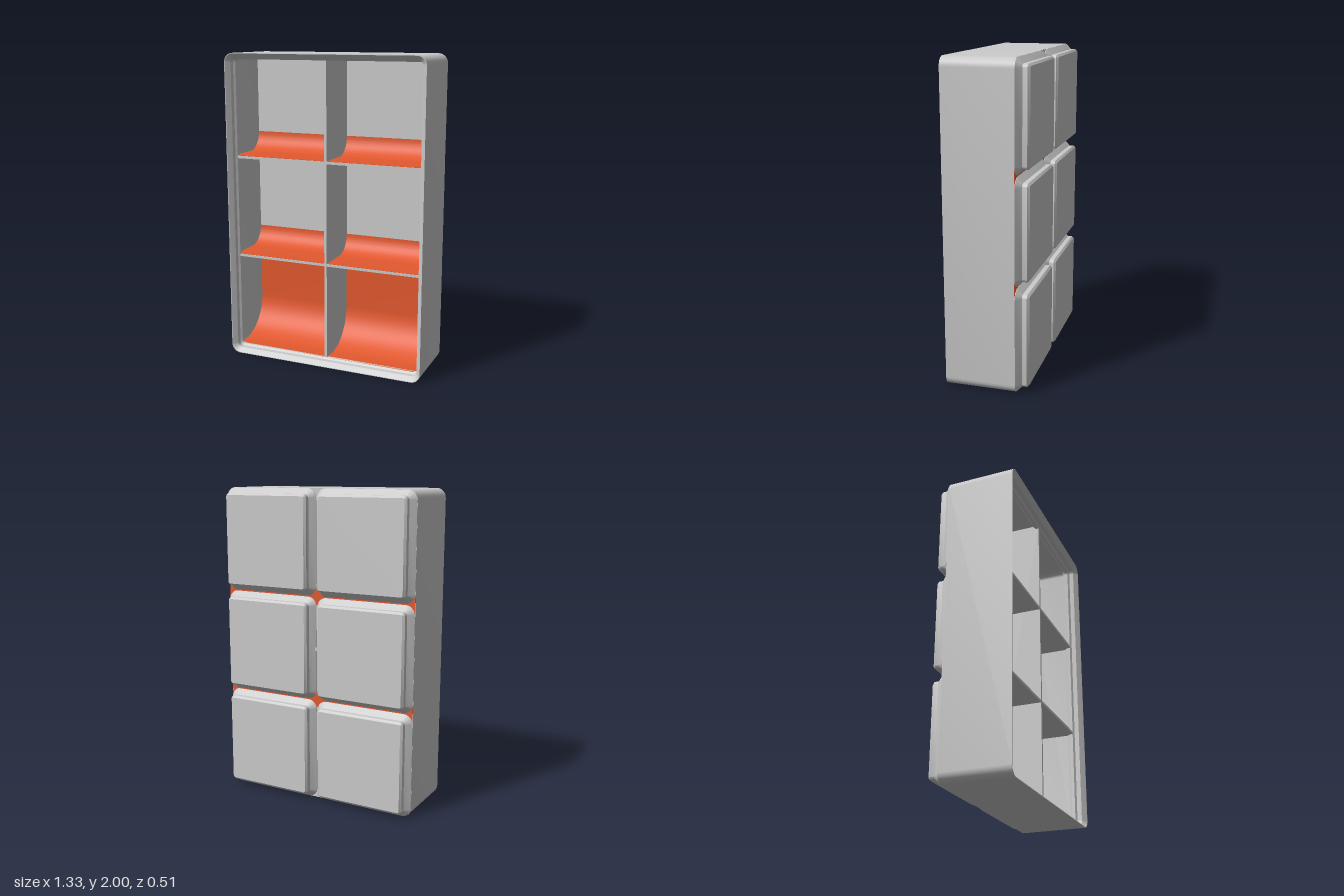
import * as THREE from 'three';
import { toCreasedNormals } from 'three/addons/utils/BufferGeometryUtils.js';

const W = 1.331, H = 2, RIM = 0.257, FLOOR = -0.145, BASE = -0.177, LEDGE = 0.187;
const PITCH = 0.669, WALL = 0.017, LIP = 0.041;
const rowEdges = [LIP, PITCH, H - PITCH, H - 0.019];

// Counter-clockwise rounded rectangle, inset from its outer size
function ring(w, h, inset, z) {
  const r = Math.max(0.06 - inset, 0.01), n = 8, pts = [];
  const cx = w / 2 - inset - r, cy = h / 2 - inset - r;
  [[1, 1], [-1, 1], [-1, -1], [1, -1]].forEach(([sx, sy], q) => {
    for (let i = 0; i <= n; i++) {
      const a = (q + i / n) * Math.PI / 2;
      pts.push(new THREE.Vector3(sx * cx + r * Math.cos(a), sy * cy + r * Math.sin(a), z));
    }
  });
  return pts;
}

// Skin through [inset, z] steps, capped at both ends
function loft(w, h, steps) {
  const rings = steps.map(([inset, z]) => ring(w, h, inset, z));
  const n = rings[0].length, pos = [];
  const tri = (...p) => p.forEach(v => pos.push(v.x, v.y, v.z));
  for (let k = 0; k < rings.length - 1; k++) {
    for (let i = 0; i < n; i++) {
      const j = (i + 1) % n, a = rings[k], b = rings[k + 1];
      tri(a[i], a[j], b[j]);
      tri(a[i], b[j], b[i]);
    }
  }
  const first = rings[0], last = rings[rings.length - 1];
  for (let i = 1; i < n - 1; i++) {
    tri(first[0], first[i + 1], first[i]);
    tri(last[0], last[i], last[i + 1]);
  }
  const g = new THREE.BufferGeometry();
  g.setAttribute('position', new THREE.Float32BufferAttribute(pos, 3));
  return toCreasedNormals(g, 0.5);
}

// Ledge, curved ramp and optional floor plate, extruded across a compartment
function scoopGeometry(y0, radius, yTop, width) {
  const z = FLOOR + 0.002, front = LEDGE - 0.002;
  const s = new THREE.Shape();
  s.moveTo(front, y0 - 0.004);
  s.lineTo(front, y0);
  s.lineTo(z + radius, y0);
  s.absarc(z + radius, y0 + radius, radius, -Math.PI / 2, -Math.PI, true);
  s.lineTo(z, yTop);
  s.lineTo(z - 0.006, yTop);
  s.lineTo(z - 0.006, y0 - 0.004);
  const g = new THREE.ExtrudeGeometry(s, { depth: width, bevelEnabled: false, curveSegments: 16 });
  g.rotateY(-Math.PI / 2).translate(width / 2, 0, 0);
  return toCreasedNormals(g, 0.4);
}

export function createModel() {
  const group = new THREE.Group();
  const grey = new THREE.MeshStandardMaterial({ color: 0xcccccc });
  const orange = new THREE.MeshStandardMaterial({ color: 0xe2592f });
  const add = (name, geometry, material, x, y, z) => {
    const m = new THREE.Mesh(geometry, material);
    m.name = name;
    m.position.set(x, y, z);
    group.add(m);
  };

  // Shell: outer wall, stepped stacking lip, recessed inner wall and floor
  add('shell', loft(W, H, [
    [0, BASE], [0, RIM], [0.004, RIM], [0.03, 0.228], [0.03, 0.198], [LIP, LEDGE],
    [LIP, 0.168], [0.019, 0.146], [0.019, FLOOR],
  ]), grey, 0, H / 2, 0);

  // Six stepped feet on the back
  const foot = loft(0.661, 0.661, [
    [0.047, -0.257], [0.034, -0.244], [0.034, -0.215], [0, -0.181], [0, BASE],
  ]);
  for (const x of [-PITCH / 2, PITCH / 2])
    for (const row of [-1, 0, 1]) add('foot', foot, grey, x, H / 2 + row * PITCH, 0);

  // Dividers
  const depth = LEDGE - FLOOR + 0.01, midZ = (LEDGE + FLOOR - 0.01) / 2;
  add('uprightDivider', new THREE.BoxGeometry(WALL, H - 0.03, depth), grey, 0, H / 2, midZ);
  for (const y of [PITCH, H - PITCH]) {
    add('shelfDivider', new THREE.BoxGeometry(W - 0.03, WALL, depth), grey, 0, y, midZ);
    // Strip showing between the feet
    add('backStrip', new THREE.BoxGeometry(W - 0.004, 0.1, 0.004), orange, 0, y, BASE);
  }
  add('backPin', new THREE.BoxGeometry(0.02, 0.02, 0.02), grey, 0, H / 2, -0.18);

  // Scoops: the bottom row has a larger ramp and a full floor plate
  const width = W / 2 - 0.019 - WALL / 2;
  for (let row = 0; row < 3; row++) {
    const y0 = rowEdges[row] + (row ? WALL / 2 + 0.002 : 0);
    const radius = row ? 0.12 : 0.25;
    const top = row ? y0 + radius + 0.001 : rowEdges[1] - WALL / 2;
    const g = scoopGeometry(y0, radius, top, width);
    for (const side of [-1, 1])
      add('scoop', g, orange, side * (WALL / 2 + width / 2), 0, 0);
  }

  return group;
}
